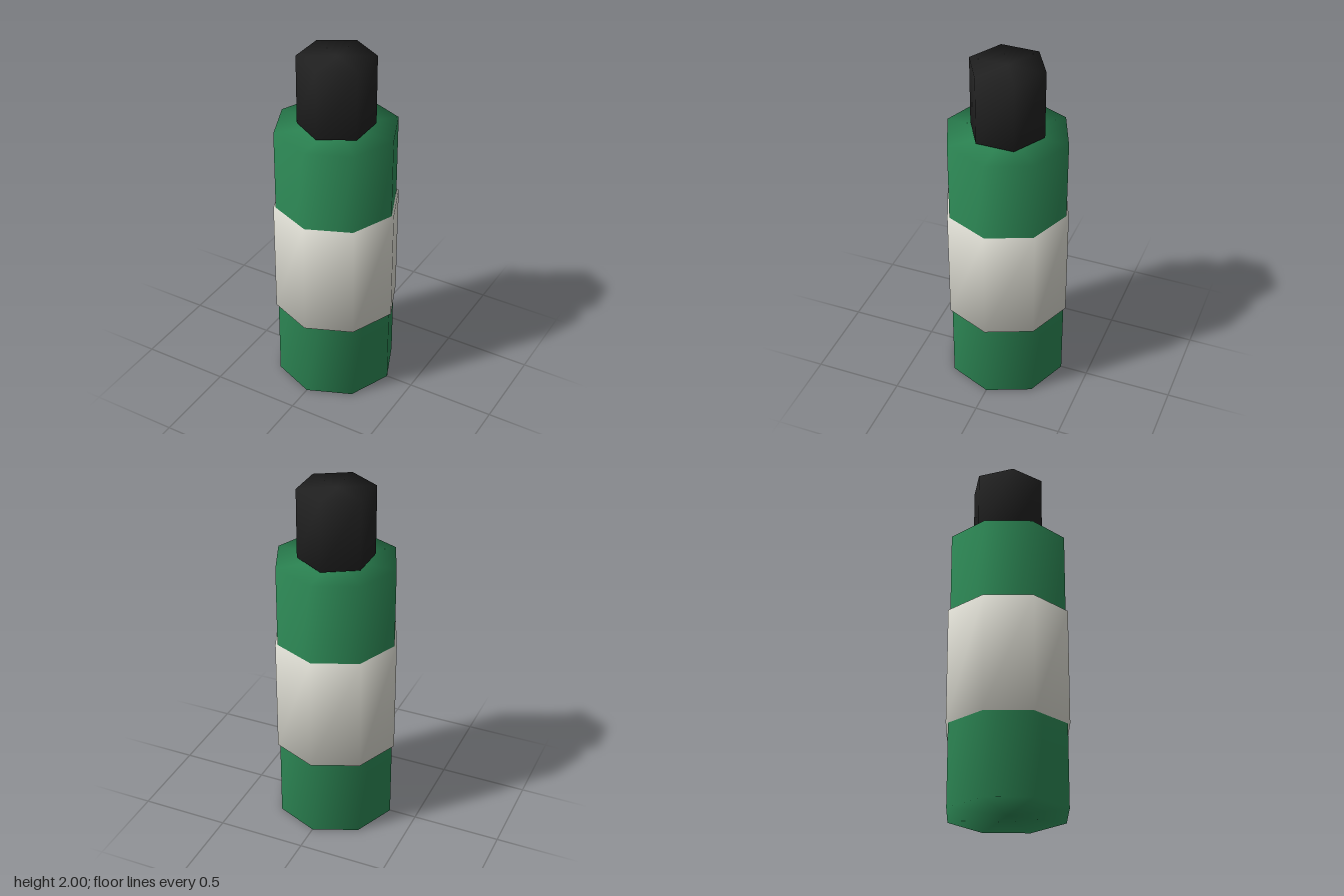
import * as THREE from 'three';
import { mergeVertices } from 'three/addons/utils/BufferGeometryUtils.js';

const green = new THREE.MeshStandardMaterial({ name: 'bottle green', color: 0x2e8b57 });
const cream = new THREE.MeshStandardMaterial({ name: 'label cream', color: 0xe0dfd5 });
const black = new THREE.MeshStandardMaterial({ name: 'cap black', color: 0x222222 });

// Closed low-poly prism whose normals are blended over every edge
function softPrism(name, radius, bottom, top, sides, material) {
  let geometry = new THREE.CylinderGeometry(radius, radius, top - bottom, sides);
  geometry.deleteAttribute('uv');
  geometry.deleteAttribute('normal');
  geometry.clearGroups();
  geometry = mergeVertices(geometry, 1e-4);
  geometry.computeVertexNormals();
  const mesh = new THREE.Mesh(geometry, material);
  mesh.name = name;
  mesh.position.y = (bottom + top) / 2;
  return mesh;
}

export function createModel() {
  const bottle = new THREE.Group();
  bottle.name = 'bottle';
  bottle.add(
    softPrism('body', 0.343, 0, 1.593, 8, green),
    softPrism('labelBand', 0.356, 0.467, 1.128, 8, cream),
    // The cap hovers just above the body
    softPrism('cap', 0.211, 1.607, 2, 6, black),
  );
  return bottle;
}
